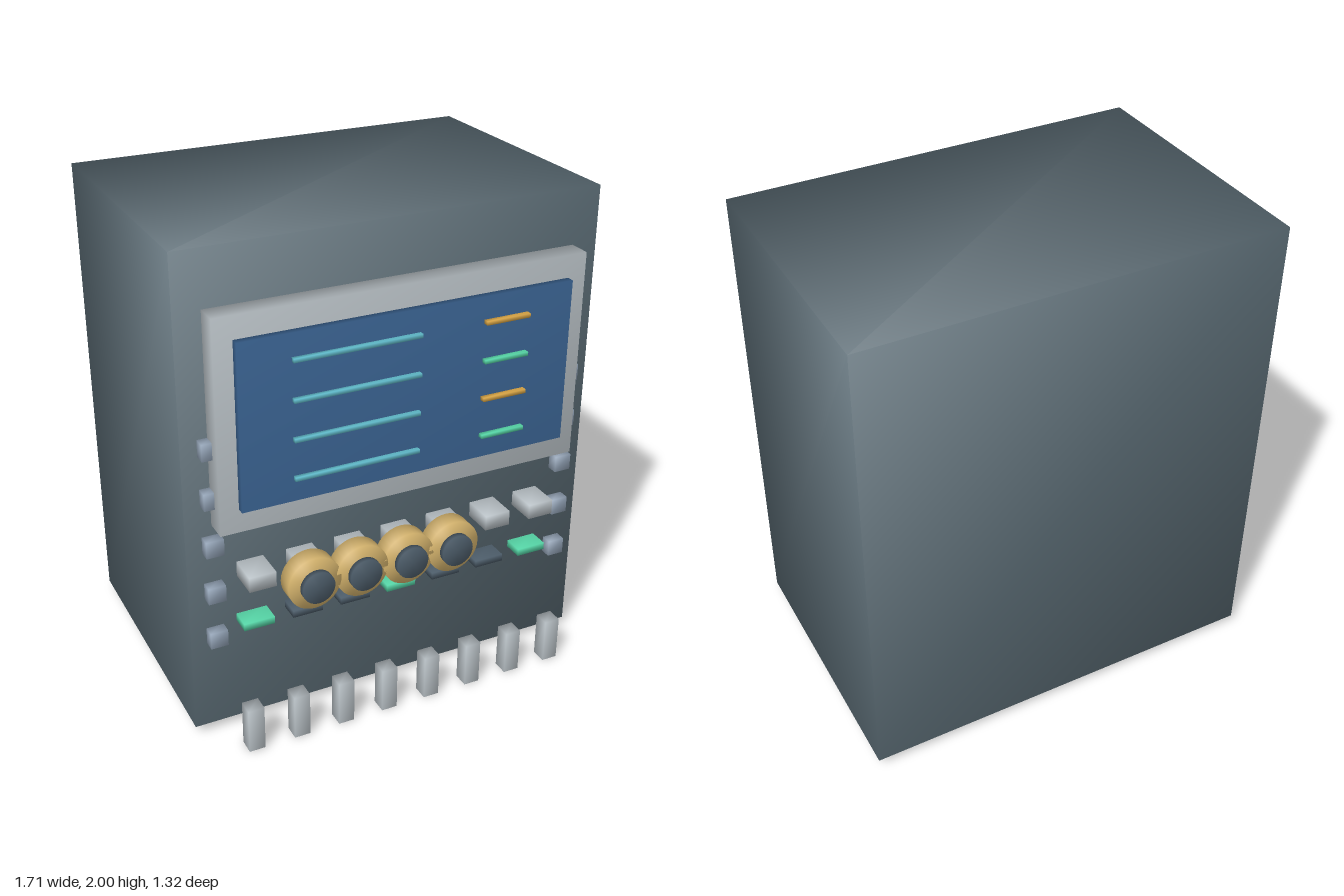
import * as THREE from 'three';
import { mergeVertices } from 'three/addons/utils/BufferGeometryUtils.js';

const mat = (name, color) => new THREE.MeshStandardMaterial({ name, color });

// Weld a primitive so its normals blend softly across every edge
function soften(geo) {
  geo.deleteAttribute('normal');
  geo.deleteAttribute('uv');
  geo.clearGroups();
  const welded = mergeVertices(geo, 1e-4);
  welded.computeVertexNormals();
  return welded;
}

export function createModel() {
  const model = new THREE.Group();
  model.name = 'controlCabinet';

  const slate = mat('slate', 0x5b6c75);
  const silver = mat('silver', 0xb9c1c6);
  const blue = mat('screenBlue', 0x3c6696);
  const cyan = mat('cyan', 0x5fb9c9);
  const amber = mat('amber', 0xd6a345);
  const green = mat('green', 0x55d3a5);
  const brass = mat('brass', 0xd3b26c);
  const steel = mat('steelBlue', 0x8f9fb2);
  const dark = mat('darkSlate', 0x4c5c69);

  function add(name, geo, material, x, y, z) {
    const mesh = new THREE.Mesh(soften(geo), material);
    mesh.name = name;
    mesh.position.set(x, y, z);
    model.add(mesh);
  }
  // Box centred on x, y and spanning z0 to z1
  const box = (name, material, x, y, w, h, z0, z1) =>
    add(name, new THREE.BoxGeometry(w, h, z1 - z0), material, x, y, (z0 + z1) / 2);
  // Disc facing the front
  const disc = (name, material, x, y, r, z0, z1) =>
    add(name, new THREE.CylinderGeometry(r, r, z1 - z0, 32).rotateX(Math.PI / 2),
      material, x, y, (z0 + z1) / 2);

  // Cabinet, bezel and screen
  box('cabinet', slate, 0, 1.02, 1.71, 1.96, -0.66, 0.48);
  box('bezel', silver, 0, 1.357, 1.5, 0.845, 0.47, 0.572);
  box('screen', blue, 0, 1.36, 1.35, 0.66, 0.57, 0.603);

  // Readout bars on the screen
  [1.592, 1.437, 1.282, 1.126].forEach((y, i) => {
    box('longReadout', cyan, -0.22, y, 0.505, 0.016, 0.603, 0.622);
    box('shortReadout', i % 2 ? green : amber, 0.39, y, 0.185, 0.016, 0.603, 0.625);
  });

  // Row of keys with an indicator lamp under each
  for (let i = 0; i < 7; i++) {
    const x = -0.605 + i * 0.2017;
    box('key', silver, x, 0.72, 0.108, 0.062, 0.47, 0.608);
    box('indicator', i % 3 ? dark : green, x, 0.505, 0.125, 0.03, 0.47, 0.562);
  }

  // Dials
  for (let i = 0; i < 4; i++) {
    const x = -0.398 + i * 0.199;
    disc('dial', brass, x, 0.66, 0.11, 0.543, 0.616);
    disc('dialCap', dark, x, 0.66, 0.067, 0.628, 0.652);
  }

  // Studs down both edges
  for (const side of [-1, 1]) {
    for (let i = 0; i < 5; i++) {
      box('stud', steel, side * 0.755, 0.455 + i * 0.201, 0.07, 0.068, 0.47, 0.526);
    }
  }

  // Row of upright pegs along the bottom front
  for (let i = 0; i < 8; i++) {
    box('peg', silver, -0.67 + i * 0.1914, 0.095, 0.066, 0.19, 0.596, 0.662);
  }

  return model;
}
